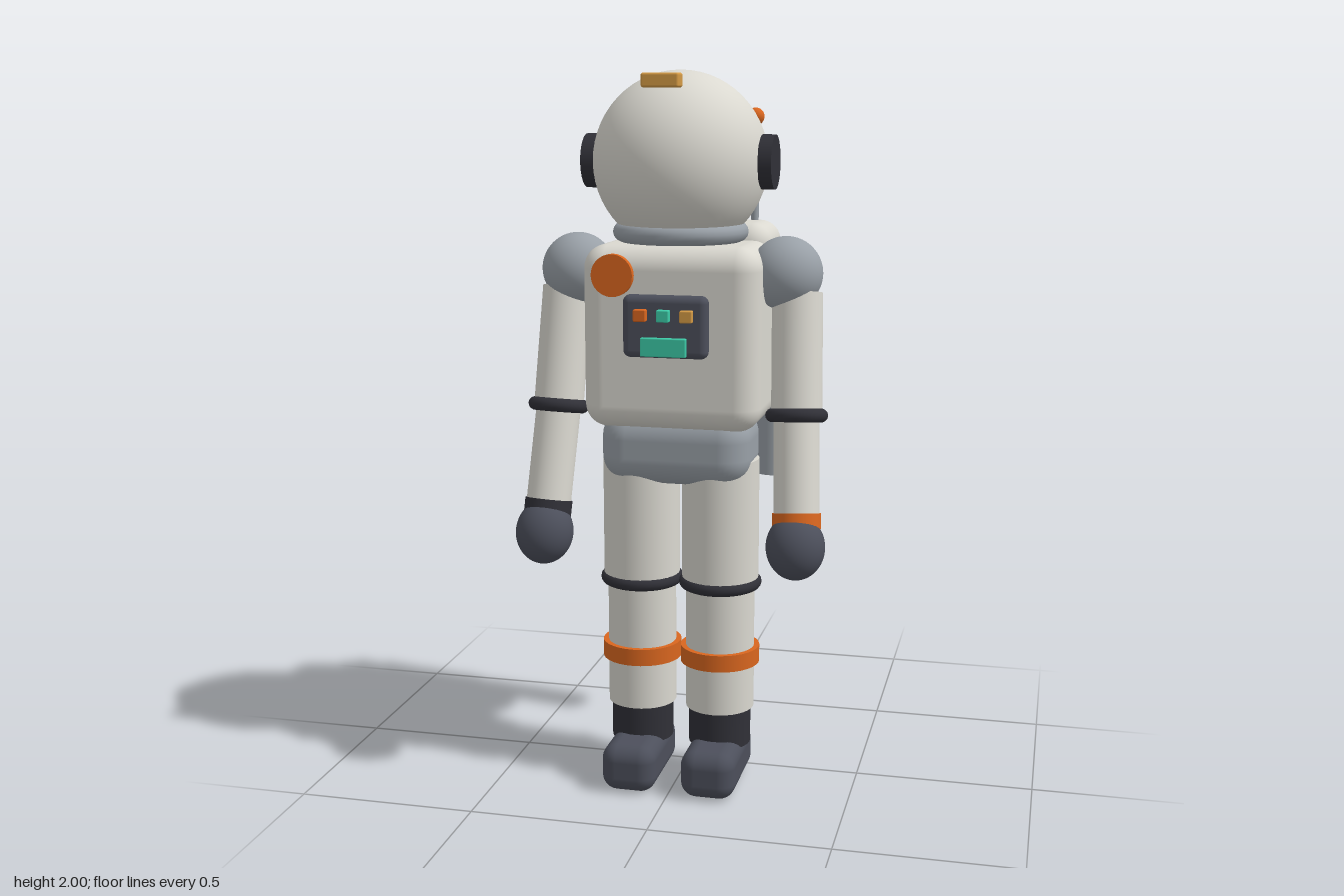
import * as THREE from 'three';
import { RoundedBoxGeometry } from 'three/addons/geometries/RoundedBoxGeometry.js';

const mat = (name, color) => {
  const m = new THREE.MeshStandardMaterial({ color });
  m.name = name;
  return m;
};

export function createModel() {
  const white = mat('suit white', 0xdad8d0);
  const grey = mat('light grey', 0x99a0a7);
  const slate = mat('slate', 0x4c4f5b);
  const black = mat('black rubber', 0x303037);
  const orange = mat('orange', 0xd9661f);
  const gold = mat('gold', 0xd49a45);
  const teal = mat('teal', 0x3cc9a6);

  const root = new THREE.Group();
  root.name = 'spaceSuit';

  const add = (name, geo, material, x, y, z, parent = root) => {
    const m = new THREE.Mesh(geo, material);
    m.name = name;
    m.position.set(x, y, z);
    parent.add(m);
    return m;
  };
  const box = (w, h, d, r) => new RoundedBoxGeometry(w, h, d, 5, r);
  const cyl = (r, h, top = r) => new THREE.CylinderGeometry(top, r, h, 32);
  const ball = (r) => new THREE.SphereGeometry(r, 40, 28);
  const ring = (r, tube) => new THREE.TorusGeometry(r, tube, 14, 40).rotateX(Math.PI / 2);
  const UP = new THREE.Vector3(0, 1, 0);
  const v = (x, y, z) => new THREE.Vector3(x, y, z);
  // Turn a mesh so that its y axis follows a direction
  const aim = (mesh, dir) => mesh.quaternion.setFromUnitVectors(UP, dir.clone().normalize());
  // Cylinder between two points
  const rod = (name, a, b, r, material, parent = root) => {
    const mid = a.clone().add(b).multiplyScalar(0.5);
    const m = add(name, cyl(r, a.distanceTo(b)), material, mid.x, mid.y, mid.z, parent);
    aim(m, a.clone().sub(b));
    return m;
  };

  // Head
  add('helmet', ball(0.242), white, 0, 1.758, 0.1).scale.x = 0.98;
  add('neckRing', ring(0.158, 0.027), grey, 0, 1.57, 0.1);
  add('helmetLamp', box(0.1, 0.037, 0.05, 0.006), gold, 0, 1.971, 0.31);
  for (const s of [1, -1]) {
    add('earPad', cyl(0.073, 0.05).rotateZ(Math.PI / 2), black, s * 0.236, 1.758, 0.102);
  }

  // Body
  add('torso', box(0.49, 0.5, 0.31, 0.065), white, 0, 1.29, 0.103);
  add('pelvis', box(0.42, 0.21, 0.256, 0.08), grey, 0, 0.98, 0.1);

  // Chest panel and badge
  add('chestPanel', box(0.232, 0.168, 0.045, 0.02), slate, 0, 1.331, 0.273);
  [orange, teal, gold].forEach((m, i) =>
    add('panelButton', box(0.034, 0.032, 0.024, 0.003), m, (i - 1) * 0.063, 1.363, 0.303));
  add('panelScreen', box(0.124, 0.05, 0.02, 0.003), teal, 0, 1.279, 0.301);
  add('chestBadge', cyl(0.057, 0.02).rotateX(Math.PI / 2), orange, -0.148, 1.463, 0.267);

  // Backpack
  const pack = new THREE.Group();
  pack.name = 'backpack';
  root.add(pack);
  add('packBody', box(0.437, 0.56, 0.23, 0.06), white, 0, 1.3, -0.165, pack);
  add('packBox', box(0.313, 0.205, 0.07, 0.02), grey, 0, 1.37, -0.293, pack);
  for (const s of [1, -1]) {
    add('packRail', box(0.02, 0.42, 0.075, 0.004), slate, s * 0.053, 1.308, -0.309, pack);
    add('airTank', cyl(0.056, 0.44), grey, s * 0.199, 1.048, -0.255, pack);
  }
  add('antennaRod', cyl(0.011, 0.32), grey, 0.145, 1.71, -0.212, pack);
  add('antennaTip', ball(0.025), orange, 0.145, 1.873, -0.212, pack);
  rod('airHose', v(0.172, 1.25, -0.015), v(0.215, 1.15, -0.085), 0.014, black, pack);

  // Arms and legs, mirrored
  for (const s of [1, -1]) {
    const arm = new THREE.Group();
    arm.name = s > 0 ? 'leftArm' : 'rightArm';
    root.add(arm);
    const top = v(s * 0.324, 1.41, 0.1);
    const elbow = v(s * 0.336, 1.085, 0.162);
    const wrist = v(s * 0.352, 0.79, 0.232);
    const lower = elbow.clone().sub(wrist);
    add('shoulder', ball(0.1), grey, s * 0.292, 1.462, 0.1, arm);
    rod('upperArm', top, elbow, 0.069, white, arm);
    aim(add('elbowRing', ring(0.066, 0.019), black, elbow.x, elbow.y, elbow.z, arm),
      top.clone().sub(elbow));
    rod('forearm', elbow, wrist, 0.062, white, arm);
    const cuff = wrist.clone().addScaledVector(lower, 0.06);
    aim(add('wristBand', cyl(0.066, 0.042), s > 0 ? orange : black, cuff.x, cuff.y, cuff.z, arm), lower);
    const hand = add('glove', ball(0.08), slate, s * 0.353, 0.743, 0.257, arm);
    hand.scale.y = 1.12;
    aim(hand, lower);

    const leg = new THREE.Group();
    leg.name = s > 0 ? 'leftLeg' : 'rightLeg';
    root.add(leg);
    const x = s * 0.114;
    add('thigh', cyl(0.108, 0.36), white, x, 0.765, 0.102, leg);
    add('kneeRing', ring(0.099, 0.018), black, x, 0.588, 0.102, leg);
    add('shin', cyl(0.097, 0.37), white, x, 0.405, 0.102, leg);
    add('shinBand', cyl(0.112, 0.048), orange, x, 0.377, 0.102, leg);
    add('ankleCuff', cyl(0.088, 0.12), black, x, 0.172, 0.102, leg);
    add('boot', box(0.155, 0.136, 0.308, 0.045), slate, x, 0.068, 0.144, leg);
  }
  return root;
}
